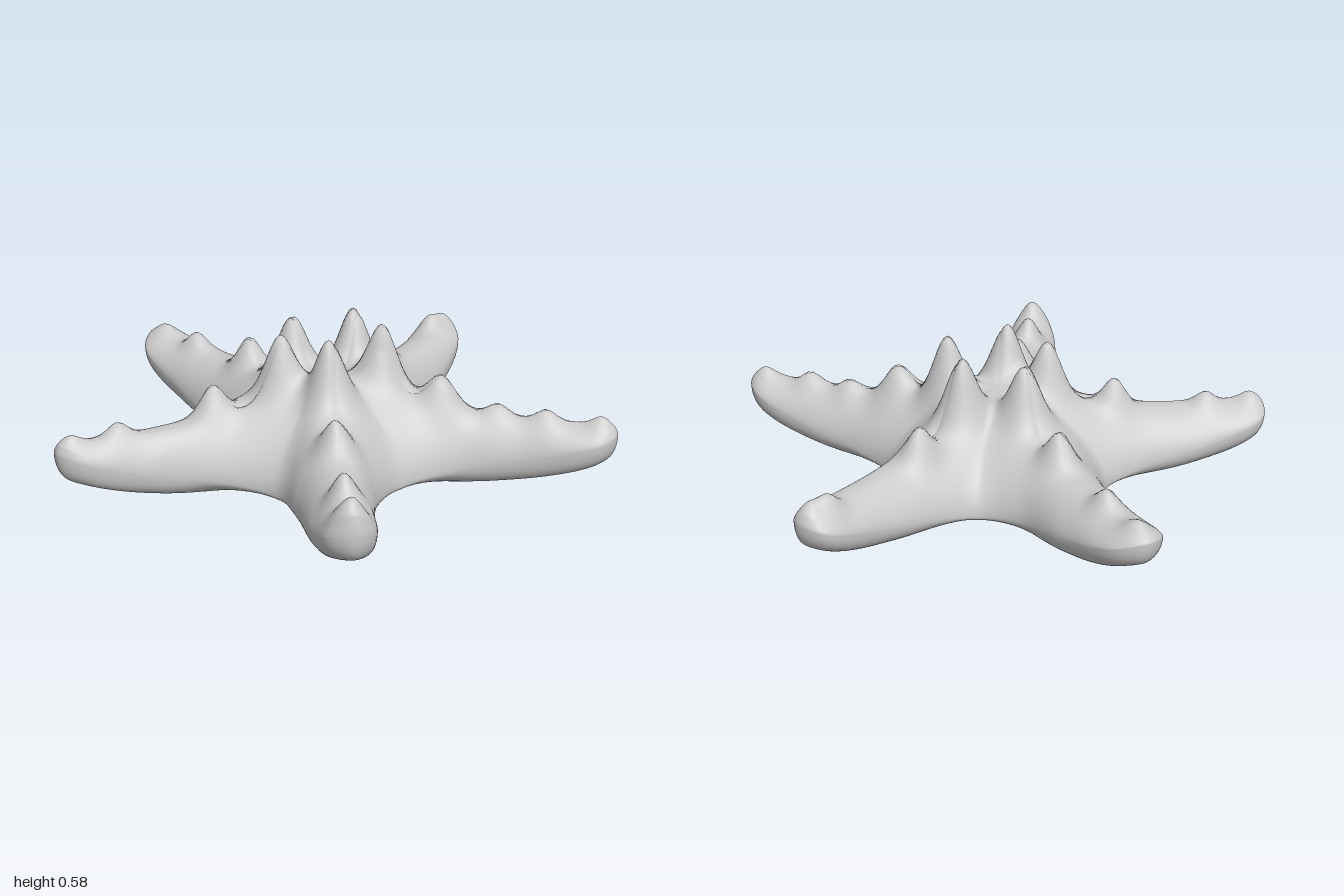
import * as THREE from 'three';
import { mergeVertices } from 'three/addons/utils/BufferGeometryUtils.js';

// Outline of each arm seen from above [x, z]: valley, one side, tip (index 4), other side
const ARMS = [
  [[-0.27, -0.25], [-0.18, -0.4], [-0.13, -0.67], [-0.1, -0.91], [0, -0.983], [0.1, -0.91], [0.15, -0.63], [0.18, -0.38]],
  [[0.28, -0.24], [0.42, -0.225], [0.65, -0.27], [0.93, -0.337], [1, -0.255], [0.965, -0.17], [0.74, -0.04], [0.52, 0.07]],
  [[0.415, 0.26], [0.465, 0.455], [0.59, 0.67], [0.703, 0.88], [0.68, 0.965], [0.59, 0.975], [0.37, 0.74], [0.2, 0.585]],
  [[0.01, 0.53], [-0.16, 0.595], [-0.33, 0.755], [-0.52, 0.967], [-0.61, 0.97], [-0.657, 0.885], [-0.59, 0.72], [-0.46, 0.48]],
  [[-0.4, 0.3], [-0.52, 0.09], [-0.75, -0.03], [-0.96, -0.135], [-1, -0.205], [-0.945, -0.285], [-0.7, -0.265], [-0.44, -0.22]],
];

// Knobs [x, z, peak height, radius]
const KNOBS = [
  [0, -0.09, 0.555, 0.073], [0, -0.35, 0.4, 0.06], [0, -0.69, 0.325, 0.05], [0, -0.9, 0.3, 0.06],
  [0.2, 0.04, 0.575, 0.073], [0.43, -0.07, 0.4, 0.06], [0.87, -0.25, 0.32, 0.05], [0.95, -0.26, 0.31, 0.05],
  [0.155, 0.25, 0.575, 0.073], [0.27, 0.45, 0.41, 0.07], [0.41, 0.61, 0.315, 0.05], [0.51, 0.76, 0.31, 0.05], [0.64, 0.92, 0.3, 0.05],
  [-0.105, 0.25, 0.575, 0.073], [-0.28, 0.49, 0.39, 0.06], [-0.48, 0.76, 0.345, 0.05], [-0.59, 0.92, 0.345, 0.07],
  [-0.18, 0.06, 0.56, 0.073], [-0.42, -0.04, 0.4, 0.06], [-0.77, -0.15, 0.315, 0.05], [-0.95, -0.2, 0.3, 0.055],
];

const CENTRE = new THREE.Vector3(0, 0, 0.14);

// Heights along an arm's spine at distance d from the centre
const topAt = (d) => 0.3 - 0.05 * d + 0.09 * Math.exp(-((d / 0.3) ** 2)) + 0.015 * d ** 6;
const bottomAt = (d) => 0.125 * d ** 3 + 0.015 * Math.exp(-((d / 0.3) ** 2));
const edgeAt = (d) => 0.065 + 0.1 * d + 0.07 * d ** 3;

function knobLift(x, z) {
  let lift = 0;
  for (const [kx, kz, peak, radius] of KNOBS) {
    const base = topAt(Math.hypot(kx - CENTRE.x, kz - CENTRE.z));
    const r = Math.hypot(x - kx, z - kz) / radius;
    lift += (peak - base) * Math.exp(-(r ** 2));
  }
  return lift;
}

// Pairs every outline point with a point on the spine of its arm
function outlineAndSpine(perSegment) {
  const points = ARMS.flat().map(([x, z]) => new THREE.Vector3(x, 0, z));
  const curve = new THREE.CatmullRomCurve3(points, true);
  const half = 4 * perSegment;
  const total = ARMS.length * 2 * half;
  const at = (k) => curve.getPoint(((k + total) % total) / total);
  const pairs = [];
  ARMS.forEach((_, a) => {
    const tipIndex = (2 * a + 1) * half;
    const dir = at(tipIndex).sub(CENTRE);
    const length = dir.length();
    dir.normalize();
    const along = (j) => (at(tipIndex + j).sub(CENTRE).dot(dir) + at(tipIndex - j).sub(CENTRE).dot(dir)) / 2;
    const start = along(half);
    for (let j = -half; j < half; j++) {
      const f = Math.max(0, (along(Math.abs(j)) - start) / (length - start));
      const d = f * (length - 0.085);
      pairs.push({ edge: at(tipIndex + j), spine: CENTRE.clone().addScaledVector(dir, d), d });
    }
  });
  return pairs;
}

// Skin: from the top of the spine, round the edge, to the underside
function bodyGeometry() {
  const pairs = outlineAndSpine(14);
  const topSteps = 46, steps = 64;
  const positions = [], index = [];
  const p = new THREE.Vector3();
  pairs.forEach(({ edge, spine, d }, k) => {
    for (let i = 0; i <= steps; i++) {
      const onTop = i <= topSteps;
      const angle = (Math.PI / 2) * (onTop ? i / topSteps : (steps - i) / (steps - topSteps));
      const c = Math.max(0, Math.cos(angle));
      p.lerpVectors(spine, edge, Math.sin(angle));
      const mid = edgeAt(d);
      if (onTop) {
        p.y = mid + (topAt(d) - mid) * (0.77 * c + 0.23 * c ** 3);
        p.y += knobLift(p.x, p.z) * Math.min(1, c * 2);
      } else {
        p.y = mid - (mid - bottomAt(d)) * (1.2 * c - 0.2 * c ** 3);
      }
      positions.push(p.x, p.y, p.z);
      if (i < steps) {
        const row = steps + 1;
        const a = k * row + i, n = ((k + 1) % pairs.length) * row + i;
        index.push(a, n + 1, a + 1, a, n, n + 1);
      }
    }
  });
  let geometry = new THREE.BufferGeometry();
  geometry.setAttribute('position', new THREE.Float32BufferAttribute(positions, 3));
  geometry.setIndex(index);
  geometry = mergeVertices(geometry, 1e-4);
  geometry.computeVertexNormals();
  return geometry;
}

export function createModel() {
  const group = new THREE.Group();
  group.name = 'starfish';
  const body = new THREE.Mesh(bodyGeometry(), new THREE.MeshStandardMaterial({ color: 0xcccccc }));
  body.name = 'body';
  // Rest on the ground
  body.geometry.computeBoundingBox();
  body.position.y = -body.geometry.boundingBox.min.y;
  group.add(body);
  return group;
}
